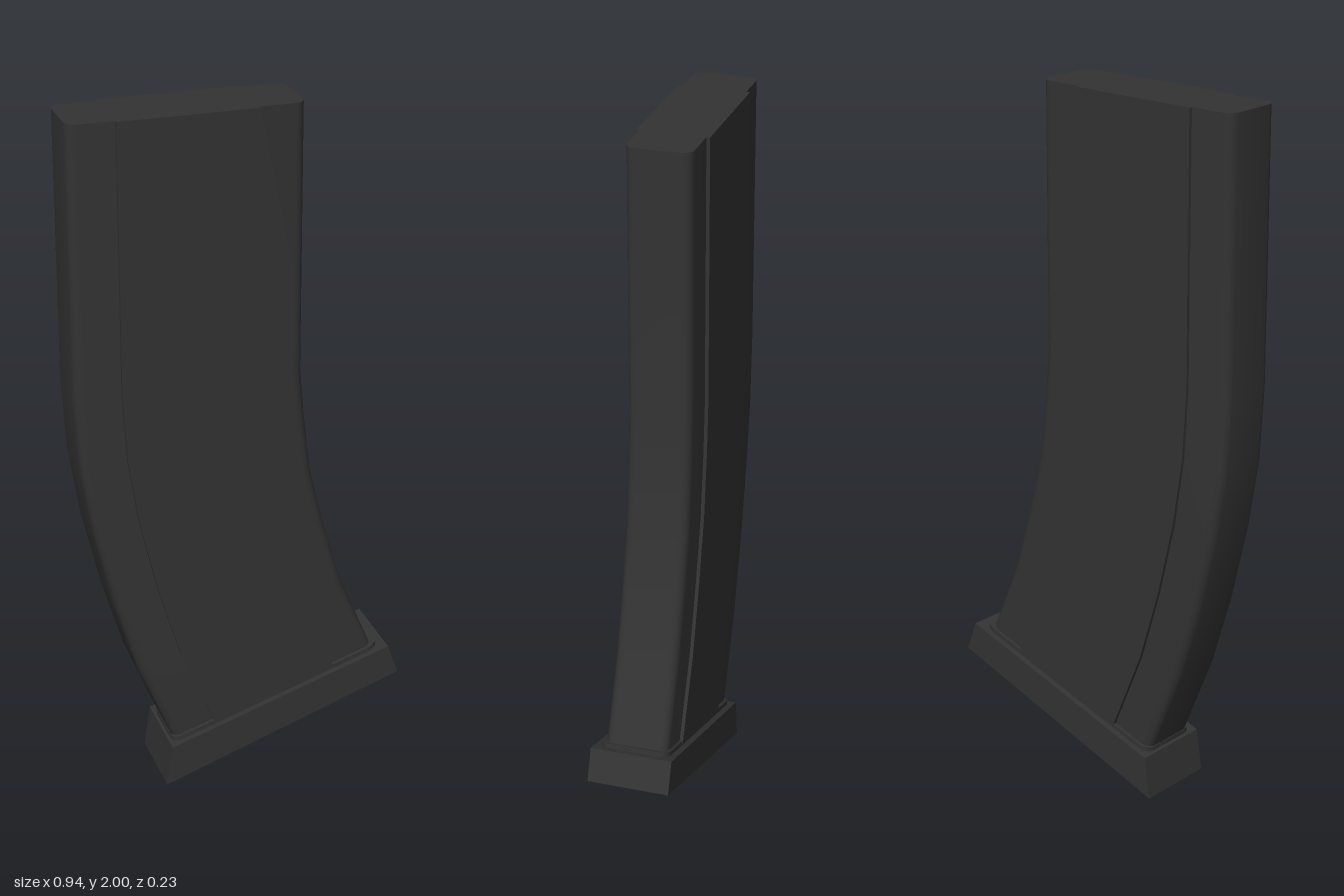
import * as THREE from 'three';
import { toCreasedNormals } from 'three/addons/utils/BufferGeometryUtils.js';

const material = new THREE.MeshStandardMaterial({ color: 0x333333 });

// Section outline in (u, z): u runs 0..1 from the rear edge to the front edge
function roundedRing(u0, u1, z0, z1, ru, rz, steps = 4) {
  const ring = [];
  const corners = [[u1 - ru, z1 - rz], [u0 + ru, z1 - rz], [u0 + ru, z0 + rz], [u1 - ru, z0 + rz]];
  corners.forEach(([u, z], q) => {
    for (let i = 0; i <= steps; i++) {
      const a = (q + i / steps) * Math.PI / 2;
      ring.push([u + ru * Math.cos(a), z + rz * Math.sin(a)]);
    }
  });
  return ring;
}
const boxRing = (u0, u1, z0, z1) => [[u1, z1], [u0, z1], [u0, z0], [u1, z0]];

// Sweep a section down through rows of [xLeft, yLeft, xRight, yRight], with end caps
function sweep(name, rows, ring) {
  const n = ring.length, pos = [], index = [];
  for (const [x0, y0, x1, y1] of rows)
    for (const [u, z] of ring) pos.push(x0 + (x1 - x0) * u, y0 + (y1 - y0) * u, z);
  for (let i = 0; i < rows.length - 1; i++)
    for (let j = 0; j < n; j++) {
      const a = i * n + j, b = i * n + (j + 1) % n;
      index.push(a, b, a + n, b, b + n, a + n);
    }
  const last = (rows.length - 1) * n;
  for (let j = 1; j < n - 1; j++) {
    index.push(0, j + 1, j);
    index.push(last, last + j, last + j + 1);
  }
  const geo = new THREE.BufferGeometry();
  geo.setAttribute('position', new THREE.Float32BufferAttribute(pos, 3));
  geo.setIndex(index);
  const mesh = new THREE.Mesh(toCreasedNormals(geo, 0.6), material);
  mesh.name = name;
  return mesh;
}

export function createModel() {
  const group = new THREE.Group();
  group.name = 'curvedMagazine';

  // Rear and front edges of the curved body, top to bottom
  const rows = [
    [-0.47, 2, 0.172, 2],
    [-0.47, 1.24, 0.172, 1.24],
    [-0.458, 1.03, 0.183, 1.11],
    [-0.426, 0.83, 0.204, 0.93],
    [-0.373, 0.6, 0.246, 0.757],
    [-0.31, 0.386, 0.304, 0.556],
    [-0.207, 0.13, 0.4, 0.331],
  ];
  group.add(sweep('body', rows, roundedRing(0, 1, -0.09, 0.09, 0.045, 0.027)));

  // Raised panel on each side
  group.add(sweep('leftPanel', rows, boxRing(0.2, 0.795, 0.09, 0.1)));
  group.add(sweep('rightPanel', rows, boxRing(0.2, 0.795, -0.1, -0.09)));

  // Thin collar where the body meets the base plate
  group.add(sweep('collar', [
    [-0.212, 0.138, 0.412, 0.344],
    [-0.212, 0.115, 0.416, 0.322],
  ], roundedRing(0, 1, -0.099, 0.099, 0.05, 0.03)));

  // Flared base plate
  group.add(sweep('basePlate', [
    [-0.22, 0.122, 0.438, 0.339],
    [-0.238, 0, 0.47, 0.249],
  ], boxRing(0, 1, -0.117, 0.117)));

  return group;
}
